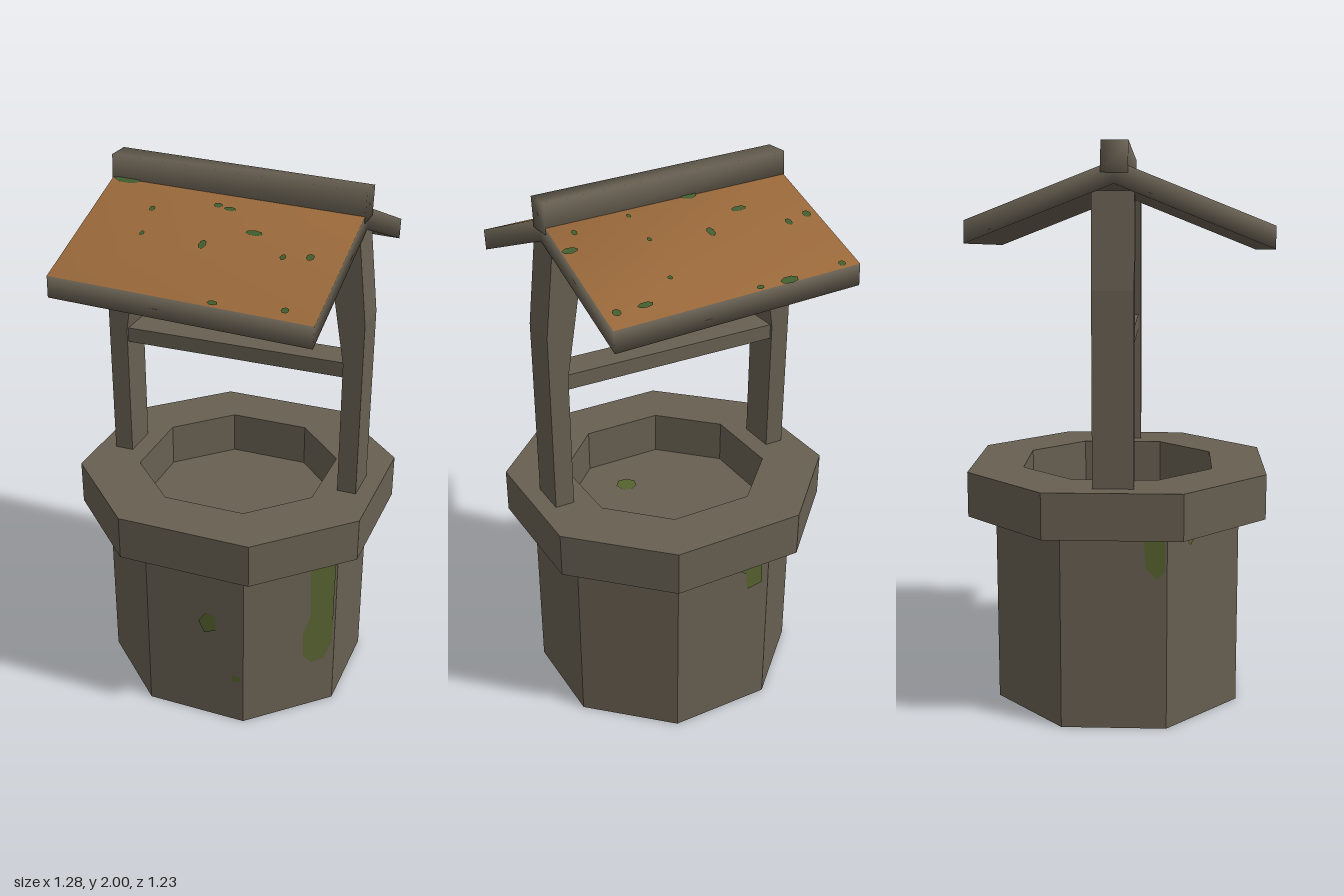
import * as THREE from 'three';

const TURN = 0.4; // the whole well is turned about 23 degrees

const grey = new THREE.MeshStandardMaterial({ color: 0x675f51 });
grey.name = 'weathered grey';
const orange = new THREE.MeshStandardMaterial({ color: 0x99683a });
orange.name = 'roof orange';
const moss = new THREE.MeshStandardMaterial({ color: 0x56622f });
moss.name = 'moss green';
const darkMoss = new THREE.MeshStandardMaterial({ color: 0x425c2e });
darkMoss.name = 'roof moss green';

function add(parent, name, geometry, material) {
  const mesh = new THREE.Mesh(geometry, material);
  mesh.name = name;
  parent.add(mesh);
  return mesh;
}

// Eight corners with flat sides facing the four axes
function octagon(ax, az, bx, bz) {
  return [[ax, az], [bx, bz], [-bx, bz], [-ax, az], [-ax, -az], [-bx, -bz], [bx, -bz], [ax, -az]]
    .map(([x, z]) => new THREE.Vector2(x, z));
}

function upright(shape, y0, y1) {
  return new THREE.ExtrudeGeometry(shape, { depth: y1 - y0, bevelEnabled: false })
    .rotateX(-Math.PI / 2).translate(0, y0, 0);
}

// Smooth-shaded prism along z; the listed sides use the second material
function prism(profile, caps, half, painted = []) {
  const n = profile.length;
  const pos = [half, -half].flatMap((z) => profile.flatMap(([x, y]) => [x, y, z]));
  const plain = [], paint = [];
  for (let i = 0; i < n; i++) {
    const j = (i + 1) % n;
    (painted.includes(i) ? paint : plain).push(i, i + n, j + n, i, j + n, j);
  }
  for (const [a, b, c] of caps) plain.push(a, b, c, a + n, c + n, b + n);
  const g = new THREE.BufferGeometry();
  g.setAttribute('position', new THREE.Float32BufferAttribute(pos, 3));
  g.setIndex([...plain, ...paint]);
  g.addGroup(0, plain.length, 0);
  g.addGroup(plain.length, paint.length, 1);
  g.computeVertexNormals();
  return g;
}

export function createModel() {
  const model = new THREE.Group();
  model.name = 'well';
  const turned = new THREE.Group();
  turned.name = 'turnedWell';
  turned.rotation.y = TURN;
  model.add(turned);
  const base = new THREE.Group();
  base.name = 'base';
  base.position.x = 0.022;
  turned.add(base);

  // Stone drum and overhanging rim
  const drum = octagon(0.437, 0.19, 0.183, 0.459);
  add(base, 'drum', upright(new THREE.Shape(drum), 0, 0.7), grey);
  const rim = new THREE.Shape(octagon(0.53, 0.243, 0.237, 0.543));
  rim.holes.push(new THREE.Path(octagon(0.34, 0.15, 0.15, 0.34).reverse()));
  add(base, 'rim', upright(rim, 0.698, 0.86), grey);

  // Moss on the drum: face number, outline as [fraction along face, height]
  const streaks = [
    [2, [[0.02, 0.7], [0.03, 0.5], [0.03, 0.28], [0.12, 0.21], [0.25, 0.2], [0.35, 0.24], [0.36, 0.34], [0.28, 0.42], [0.3, 0.7]]],
    [7, [[0.08, 0.54], [0.24, 0.53], [0.26, 0.6], [0.33, 0.62], [0.33, 0.7], [0.14, 0.7], [0.08, 0.6]]],
    [5, [[0.02, 0.57], [0.1, 0.54], [0.2, 0.58], [0.22, 0.7], [0.02, 0.7]]],
    [4, [[0.62, 0.67], [0.7, 0.64], [0.76, 0.67], [0.76, 0.7], [0.62, 0.7]]],
    [3, [[0.28, 0.4], [0.4, 0.38], [0.46, 0.43], [0.38, 0.47], [0.28, 0.46]]],
    [3, [[0.02, 0.19], [0.12, 0.18], [0.12, 0.21], [0.03, 0.21]]],
  ];
  for (const [f, outline] of streaks) {
    const a = drum[f], b = drum[(f + 1) % 8];
    const length = a.distanceTo(b);
    const shape = new THREE.Shape(outline.map(([u, y]) => new THREE.Vector2(-u * length, y)));
    const patch = add(base, 'drumMoss', new THREE.ShapeGeometry(shape), moss);
    const nx = (b.y - a.y) / length, nz = -(b.x - a.x) / length;
    patch.position.set(a.x + nx * 0.004, 0, a.y + nz * 0.004);
    patch.rotation.y = Math.atan2(nx, nz);
  }
  const floorMoss = add(base, 'floorMoss', new THREE.CircleGeometry(0.04, 7).rotateX(-Math.PI / 2), moss);
  floorMoss.position.set(-0.16, 0.704, 0.08);

  // Two posts that lean inward at the top, and the bar between them
  const side = new THREE.Shape([[0.41, 0.85], [0.48, 0.85], [0.48, 1.52], [0.445, 1.84], [0.33, 1.84], [0.41, 1.36]]
    .map(([z, y]) => new THREE.Vector2(z, y)));
  const postGeometry = new THREE.ExtrudeGeometry(side, { depth: 0.14, bevelEnabled: false })
    .translate(0, 0, -0.07).rotateY(-Math.PI / 2);
  add(base, 'frontPost', postGeometry, grey);
  add(base, 'backPost', postGeometry, grey).rotation.y = Math.PI;
  add(base, 'crossbar', new THREE.BoxGeometry(0.12, 0.055, 0.83), grey).position.y = 1.337;

  // Slightly crooked roof
  const roof = new THREE.Group();
  roof.name = 'roof';
  roof.position.y = 1.8;
  roof.rotation.set(0.037, 0, 0.017);
  turned.add(roof);
  const ridgeX = 0.02, ridgeY = 0.12, eaveX = 0.507, eaveY = -0.08;
  const section = [[eaveX, -0.155], [eaveX, eaveY], [ridgeX, ridgeY], [-eaveX, eaveY], [-eaveX, -0.155], [ridgeX, 0.045]];
  add(roof, 'roofPanels', prism(section, [[0, 1, 2], [0, 2, 5], [5, 2, 3], [5, 3, 4]], 0.45, [1, 2]), [grey, orange]);
  const cap = [[0.065, 0.08], [0.065, 0.183], [-0.025, 0.183], [-0.025, 0.08]];
  add(roof, 'ridgeCap', prism(cap, [[0, 1, 2], [0, 2, 3]], 0.452), [grey, grey]);

  // Moss spots on the roof: x, z, half width, half length
  const spots = [
    [0.08, -0.48, 0.016, 0.016], [0.125, -0.41, 0.016, 0.012], [0.3, -0.55, 0.012, 0.014], [0.39, -0.36, 0.016, 0.034],
    [0.08, -0.25, 0.012, 0.03], [0.2, -0.14, 0.022, 0.014], [0.43, -0.26, 0.009, 0.014], [0.035, -0.09, 0.018, 0.03],
    [0.255, 0.065, 0.01, 0.008], [0.415, 0.02, 0.009, 0.009], [0.535, 0.11, 0.012, 0.028], [0.573, 0.2, 0.015, 0.015],
    [0.155, 0.12, 0.01, 0.008], [0.25, 0.3, 0.013, 0.01], [0.33, 0.32, 0.014, 0.028], [-0.18, -0.35, 0.02, 0.05],
    [-0.23, -0.17, 0.014, 0.01], [-0.33, -0.11, 0.012, 0.008], [-0.09, 0, 0.012, 0.016], [-0.08, 0.045, 0.01, 0.022],
    [-0.25, 0.09, 0.022, 0.013], [-0.115, 0.19, 0.013, 0.03], [-0.14, 0.34, 0.014, 0.01], [-0.09, 0.41, 0.016, 0.014],
    [-0.41, 0.3, 0.01, 0.018], [-0.3, 0.5, 0.013, 0.013],
  ];
  const c = Math.cos(TURN), s = Math.sin(TURN);
  for (const [x, z, w, l] of spots) {
    const lx = x * c - z * s, lz = x * s + z * c;
    const run = lx > ridgeX ? eaveX - ridgeX : -eaveX - ridgeX;
    const slope = (eaveY - ridgeY) / run;
    const spot = add(roof, 'roofMoss', new THREE.CircleGeometry(1, 7).rotateX(-Math.PI / 2), darkMoss);
    spot.scale.set(w, 1, l);
    spot.rotation.z = Math.atan(slope);
    spot.position.set(lx, ridgeY + (lx - ridgeX) * slope + 0.004, lz);
  }
  return model;
}
